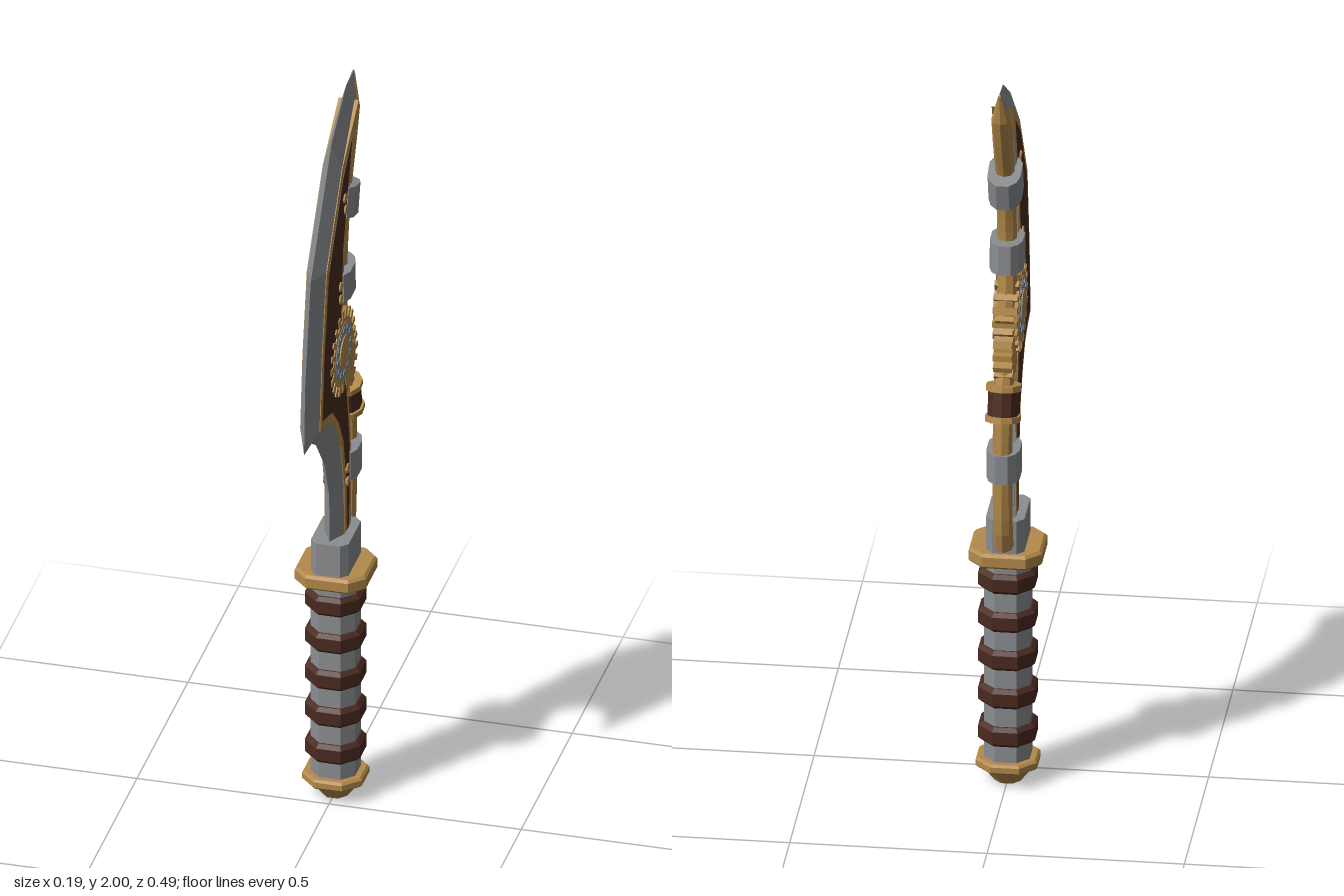
import * as THREE from 'three';

const mat = (name, color) => Object.assign(new THREE.MeshStandardMaterial({ color }), { name });

export function createModel() {
  const root = new THREE.Group();
  root.name = 'dagger';
  const steel = mat('steel', 0x8b8e91);
  const brass = mat('brass', 0xb48a4a);
  const leather = mat('darkLeather', 0x4a2a20);
  const blueSteel = mat('blueSteel', 0x71879a);

  // Adds a faceted mesh
  function add(name, geo, material, parent = root) {
    const g = geo.index ? geo.toNonIndexed() : geo;
    g.computeVertexNormals();
    const m = new THREE.Mesh(g, material);
    m.name = name;
    parent.add(m);
    return m;
  }
  const shapeOf = pts => new THREE.Shape(pts.map(p => new THREE.Vector2(p[0], p[1])));

  // Slab drawn in the (z, y) plane, reaching x = +-half
  function slab(name, pts, half, material, z = 0, y = 0) {
    const g = new THREE.ExtrudeGeometry(shapeOf(pts), { depth: half * 2, bevelEnabled: false });
    g.translate(0, 0, -half).rotateY(-Math.PI / 2);
    const m = add(name, g, material);
    m.position.set(0, y, z);
    return m;
  }
  const circle = (r, n) => Array.from({ length: n }, (_, i) => {
    const a = (i / n) * Math.PI * 2;
    return [r * Math.cos(a), r * Math.sin(a)];
  });
  function gear(r, tip, n) {
    const pts = [];
    for (let i = 0; i < n; i++) {
      [[-0.5, r], [-0.24, r], [-0.22, tip], [0.22, tip], [0.24, r]].forEach(([o, q]) => {
        const a = ((i + o) / n) * Math.PI * 2;
        pts.push([q * Math.cos(a), q * Math.sin(a)]);
      });
    }
    return pts;
  }

  // Upright prism with cut corners and bevelled rims
  const GZ = -0.065;
  function octBlock(name, hx, hz, cut, y0, y1, bevel, material, z = GZ) {
    const x = hx - bevel, w = hz - bevel;
    const pts = [[x, -w + cut], [x, w - cut], [x - cut, w], [-x + cut, w],
      [-x, w - cut], [-x, -w + cut], [-x + cut, -w], [x - cut, -w]];
    const g = new THREE.ExtrudeGeometry(shapeOf(pts), {
      depth: y1 - y0 - bevel * 2, bevelEnabled: bevel > 0,
      bevelThickness: bevel, bevelSize: bevel, bevelSegments: 1 });
    g.rotateX(-Math.PI / 2).translate(0, y0 + bevel, z);
    return add(name, g, material);
  }

  // Handle
  const pommel = new THREE.CylinderGeometry(0.07, 0.036, 0.045, 8).rotateY(Math.PI / 8);
  add('pommelTip', pommel.translate(0, 0.0225, GZ), brass);
  octBlock('pommelPlate', 0.078, 0.078, 0.038, 0.043, 0.07, 0.006, brass);
  octBlock('gripCore', 0.058, 0.058, 0.03, 0.06, 0.64, 0, steel);
  for (let i = 0; i < 5; i++) {
    const y = 0.143 + i * 0.107;
    octBlock('gripBand', 0.072, 0.072, 0.034, y - 0.027, y + 0.027, 0.01, leather);
  }
  octBlock('guard', 0.093, 0.092, 0.033, 0.627, 0.667, 0.007, brass, -0.068);
  octBlock('bladeCollar', 0.049, 0.078, 0.018, 0.66, 0.758, 0, steel, -0.067);

  // Blade: rows of cutting edge, ridge and back as (z, y) pairs
  const T = 0.024;
  const rows = [
    [-0.24, 2.0, -0.24, 1.998, -0.243, 1.99, 0.002],
    [-0.17, 1.995, -0.185, 1.948, -0.215, 1.94, 0.015],
    [-0.02, 1.9, -0.035, 1.838, -0.15, 1.83, T],
    [0.18, 1.615, 0.122, 1.615, -0.062, 1.6, T],
    [0.235, 1.34, 0.167, 1.39, -0.037, 1.39, T],
    [0.245, 1.15, 0.19, 1.188, -0.075, 1.235, T],
    [0.19, 1.155, 0.13, 1.178, -0.088, 1.19, T],
    [0.13, 1.115, 0.075, 1.157, -0.1, 1.12, T],
    [0.045, 1.01, -0.015, 1.037, -0.12, 1.02, T],
    [0.0, 0.9, -0.05, 0.89, -0.128, 0.9, T],
    [-0.01, 0.68, -0.052, 0.68, -0.12, 0.68, T],
  ];
  const pos = [], idx = [];
  rows.forEach(([ez, ey, rz, ry, bz, by, t]) =>
    pos.push(0, ey, ez, t, ry, rz, t, by, bz, -t, by, bz, -t, ry, rz));
  for (let i = 0; i < rows.length - 1; i++) {
    for (let j = 0; j < 5; j++) {
      const a = i * 5 + j, b = i * 5 + ((j + 1) % 5), c = a + 5, d = b + 5;
      idx.push(a, c, b, b, c, d);
    }
  }
  const blade = new THREE.BufferGeometry();
  blade.setAttribute('position', new THREE.Float32BufferAttribute(pos, 3));
  blade.setIndex(idx);
  add('blade', blade, steel);

  // Brass trim with a dark inlay, showing on both faces
  slab('bladeTrim', [[-0.192, 1.942], [-0.035, 1.832], [0.12, 1.613], [0.163, 1.39], [0.185, 1.19],
    [0.13, 1.178], [0.075, 1.157], [0.025, 1.105], [-0.018, 1.035], [-0.053, 0.89], [-0.055, 0.74], [-0.112, 0.74],
    [-0.12, 0.9], [-0.112, 1.02], [-0.07, 1.235], [-0.032, 1.39], [-0.053, 1.6], [-0.095, 1.71], [-0.14, 1.83]],
  0.0262, brass);
  slab('bladeInlay', [[-0.125, 1.872], [-0.035, 1.8], [0.1, 1.605], [0.145, 1.39], [0.165, 1.207],
    [0.12, 1.197], [0.065, 1.178], [0.005, 1.115], [-0.04, 1.04], [-0.072, 0.9], [-0.075, 0.76], [-0.088, 0.76],
    [-0.1, 0.9], [-0.095, 1.02], [-0.052, 1.235], [-0.015, 1.39], [-0.034, 1.6], [-0.072, 1.71]],
  0.0278, leather);

  // Gears
  slab('rearGear', gear(0.078, 0.102, 18), 0.024, brass, -0.09, 1.235);
  const gz = -0.025, gy = 1.305;
  slab('mainGear', gear(0.092, 0.117, 20), 0.031, brass, gz, gy);
  slab('gearRing', circle(0.078, 24), 0.0325, steel, gz, gy);
  slab('gearHub', circle(0.045, 16), 0.0355, brass, gz, gy);
  circle(0.062, 12).forEach(([z, y]) =>
    slab('gearStud', circle(0.01, 6), 0.0345, blueSteel, gz + z, gy + y));

  // Blade rivets
  [[-0.045, 1.738], [-0.052, 1.702], [-0.003, 1.505], [-0.003, 1.468], [-0.072, 0.94], [-0.072, 0.902]]
    .forEach(([z, y]) => slab('rivet', circle(0.013, 8), 0.032, brass, z, y));

  // Pipe along the back
  const path = new THREE.CatmullRomCurve3([[-0.12, 0.685], [-0.158, 0.7], [-0.172, 0.75], [-0.181, 0.945],
    [-0.17, 1.1], [-0.135, 1.21], [-0.098, 1.34], [-0.085, 1.45], [-0.09, 1.56], [-0.122, 1.71],
    [-0.18, 1.84], [-0.211, 1.92]].map(([z, y]) => new THREE.Vector3(0, y, z)));
  add('backPipe', new THREE.TubeGeometry(path, 30, 0.025, 8, false), brass);
  const tip = add('pipeTip', new THREE.CylinderGeometry(0.004, 0.025, 0.085, 8), brass);
  tip.position.set(0, 1.955, -0.224);
  tip.rotation.x = -0.36;

  // Pipe coupling
  const coupling = new THREE.Group();
  coupling.name = 'pipeCoupling';
  coupling.position.set(0, 1.1, -0.163);
  coupling.rotation.x = 0.25;
  root.add(coupling);
  add('couplingSleeve', new THREE.CylinderGeometry(0.04, 0.04, 0.07, 10), leather, coupling);
  [-0.04, 0.04].forEach(y =>
    add('couplingRing', new THREE.CylinderGeometry(0.046, 0.046, 0.016, 10).translate(0, y, 0), brass, coupling));

  // Straps holding the pipe to the blade
  const half = [[0.03, -0.057], [0.042, -0.035], [0.042, 0.015], [0.034, 0.04], [0.016, 0.057]];
  const strap = half.concat(half.map(([x, y]) => [-x, y]).reverse());
  [[-0.125, 1.695, -0.27], [-0.088, 1.485, 0.03], [-0.152, 0.93, 0]].forEach(([z, y, tilt]) => {
    const g = new THREE.ExtrudeGeometry(shapeOf(strap), { depth: 0.08, bevelEnabled: false });
    const m = add('pipeStrap', g.translate(0, 0, -0.04).rotateX(-Math.PI / 2), steel);
    m.position.set(0, y, z);
    m.rotation.x = tilt;
  });

  return root;
}
